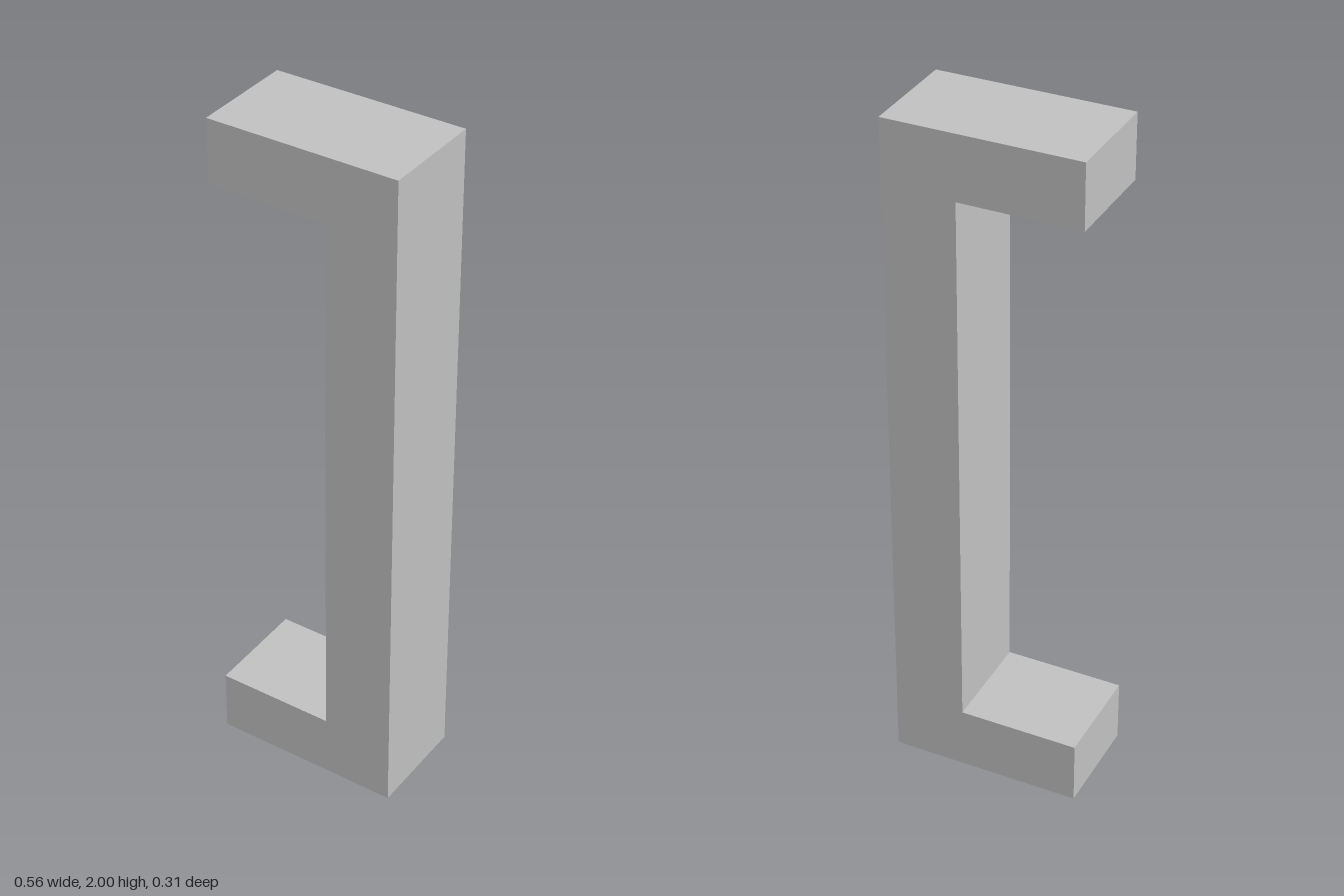
import * as THREE from 'three';

export function createModel() {
  const group = new THREE.Group();
  group.name = 'pullHandle';
  const metal = new THREE.MeshStandardMaterial({ color: 0xc0c0c0 });
  metal.name = 'satin grey metal';

  // Square bracket outline: upright grip with a mounting arm at each end
  const halfWidth = 0.28, gripInner = 0.07, height = 2, arm = 0.187, depth = 0.306;
  const outline = new THREE.Shape([
    [-halfWidth, 0], [halfWidth, 0], [halfWidth, height], [-halfWidth, height],
    [-halfWidth, height - arm], [gripInner, height - arm], [gripInner, arm], [-halfWidth, arm],
  ].map(([x, y]) => new THREE.Vector2(x, y)));

  // One seamless solid bar, centred front to back
  const geometry = new THREE.ExtrudeGeometry(outline, { depth, bevelEnabled: false });
  geometry.translate(0, 0, -depth / 2);
  const handle = new THREE.Mesh(geometry, metal);
  handle.name = 'handleBar';
  group.add(handle);
  return group;
}
